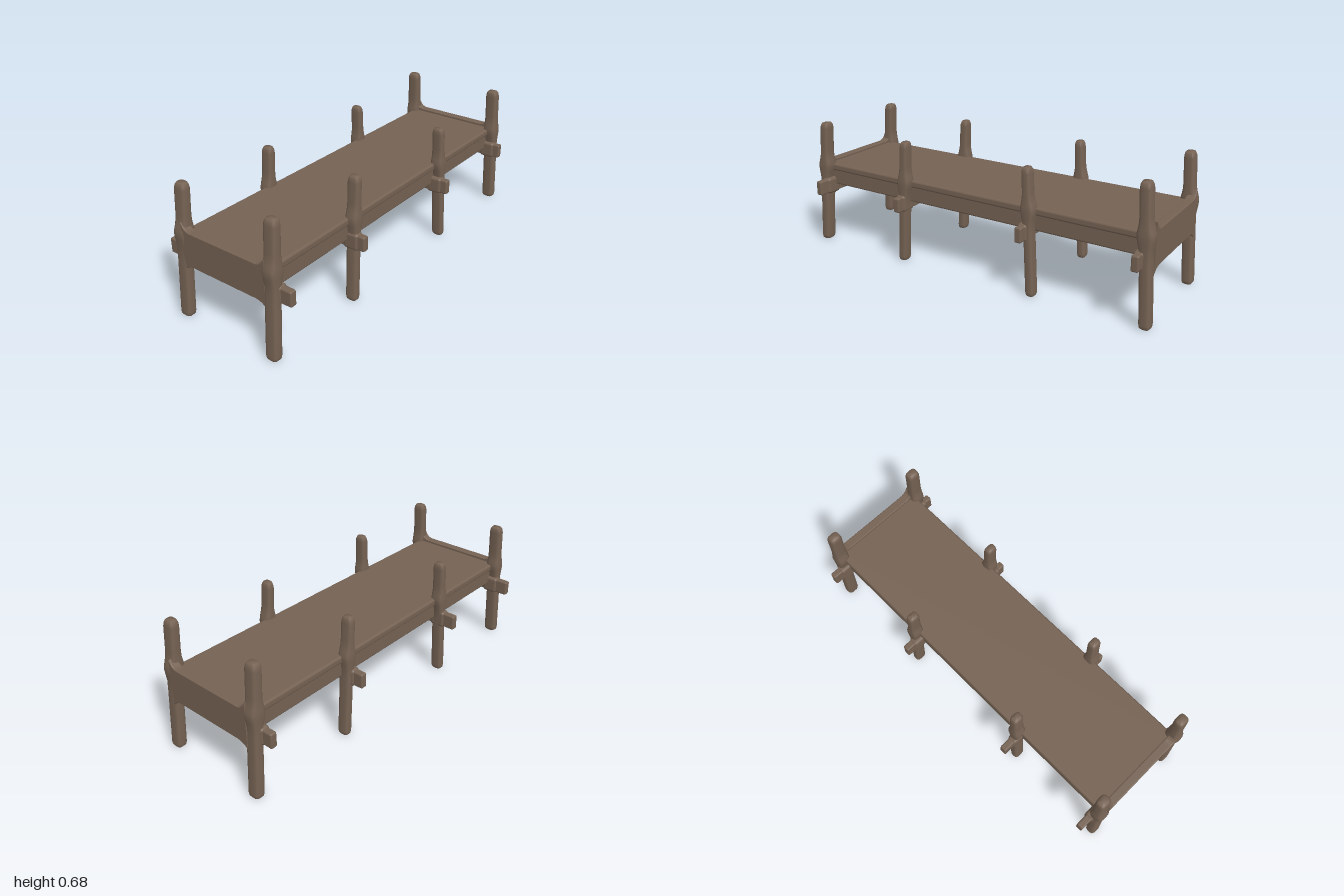
import * as THREE from 'three';
import { RoundedBoxGeometry } from 'three/addons/geometries/RoundedBoxGeometry.js';

const wood = new THREE.MeshStandardMaterial({ color: 0x756253 });
wood.name = 'brown wood';

// Upright post: rounded-square rings stacked along a slight lean, swelling at the deck
function postGeometry(x0, x1, z0, z1, height, hw, hd) {
  const N = 20, rings = [];
  const levels = [0.004, 0.004, 0.01, 0.025, 0.15, 0.25, 0.29, 0.33, 0.37, 0.41, 0.435,
    0.455, 0.475, 0.5, 0.53, height - 0.03, height - 0.012, height, height];
  const scale = levels.map(() => 1);
  scale[0] = 0; scale[1] = 0.75; scale[2] = 0.92;
  scale[levels.length - 1] = 0; scale[levels.length - 2] = 0.7; scale[levels.length - 3] = 0.9;
  const pos = [], idx = [];
  levels.forEach((y, i) => {
    const t = y / height;
    const swell = 0.014 * Math.exp(-(((y - 0.44) / 0.045) ** 2));
    for (let j = 0; j < N; j++) {
      const a = (j / N) * Math.PI * 2, c = Math.cos(a), s = Math.sin(a);
      const px = Math.sign(c) * Math.abs(c) ** 0.6, pz = Math.sign(s) * Math.abs(s) ** 0.6;
      pos.push(x0 + (x1 - x0) * t + px * (hw + swell) * scale[i], y,
        z0 + (z1 - z0) * t + pz * (hd + swell * 0.3) * scale[i]);
    }
    if (i === 0) return;
    for (let j = 0; j < N; j++) {
      const a = (i - 1) * N + j, b = (i - 1) * N + (j + 1) % N;
      idx.push(a, a + N, b, b, a + N, b + N);
    }
  });
  const g = new THREE.BufferGeometry();
  g.setAttribute('position', new THREE.Float32BufferAttribute(pos, 3));
  g.setIndex(idx);
  g.computeVertexNormals();
  return g;
}

// End board whose corners curve into the posts
function apronGeometry(thickness) {
  const s = new THREE.Shape();
  s.moveTo(-0.25, 0.262);
  s.quadraticCurveTo(-0.235, 0.285, -0.19, 0.289);
  s.lineTo(0.19, 0.289);
  s.quadraticCurveTo(0.235, 0.285, 0.25, 0.262);
  s.lineTo(0.25, 0.5);
  s.quadraticCurveTo(0.235, 0.464, 0.2, 0.462);
  s.lineTo(-0.2, 0.462);
  s.quadraticCurveTo(-0.235, 0.464, -0.25, 0.5);
  const g = new THREE.ExtrudeGeometry(s, {
    depth: thickness - 0.012, bevelEnabled: true, bevelThickness: 0.006, bevelSize: 0.003, bevelSegments: 2, curveSegments: 8,
  });
  g.translate(0, 0, -(thickness - 0.012) / 2);
  g.rotateY(Math.PI / 2);
  return g;
}

export function createModel() {
  const group = new THREE.Group();
  const add = (name, geometry, x = 0, y = 0, z = 0) => {
    const m = new THREE.Mesh(geometry, wood);
    m.name = name;
    m.position.set(x, y, z);
    group.add(m);
    return m;
  };
  const box = (name, w, h, d, r, x, y, z) => add(name, new RoundedBoxGeometry(w, h, d, 3, r), x, y, z);

  // Flat top
  box('deck', 1.95, 0.04, 0.53, 0.012, 0, 0.432, 0);

  // Long side rails, set slightly under the deck lip
  for (const side of [-1, 1]) box('sideRail', 1.9, 0.1, 0.035, 0.01, 0, 0.381, side * 0.238);

  // End boards
  for (const side of [-1, 1]) add('endApron', apronGeometry(0.045), side * 0.957);

  // Posts: foot x, head x, height, half width, half depth, beam x, beam front and back reach
  const frames = [
    [-0.975, -0.932, 0.683, 0.027, 0.034, -0.93, 0.367, -0.375],
    [-0.412, -0.382, 0.657, 0.024, 0.031, -0.4, 0.347, -0.372],
    [0.376, 0.339, 0.648, 0.023, 0.031, 0.335, 0.347, -0.36],
    [0.967, 0.925, 0.686, 0.028, 0.034, 0.922, 0.347, -0.36],
  ];
  for (const [x0, x1, h, hw, hd, bx, front, back] of frames) {
    add('frontPost', postGeometry(x0, x1, 0.276, 0.268, h, hw, hd));
    add('backPost', postGeometry(x0, x1, -0.27, -0.265, h, hw, hd));
    // Cross beam with ends poking out past the posts
    box('crossBeam', 0.036, 0.078, front - back, 0.008, bx, 0.33, (front + back) / 2);
    // Thicker collars where the beam meets the posts
    for (const side of [-1, 1]) box('beamCollar', 0.052, 0.09, 0.085, 0.016, bx, 0.33, side * 0.27);
  }
  return group;
}
